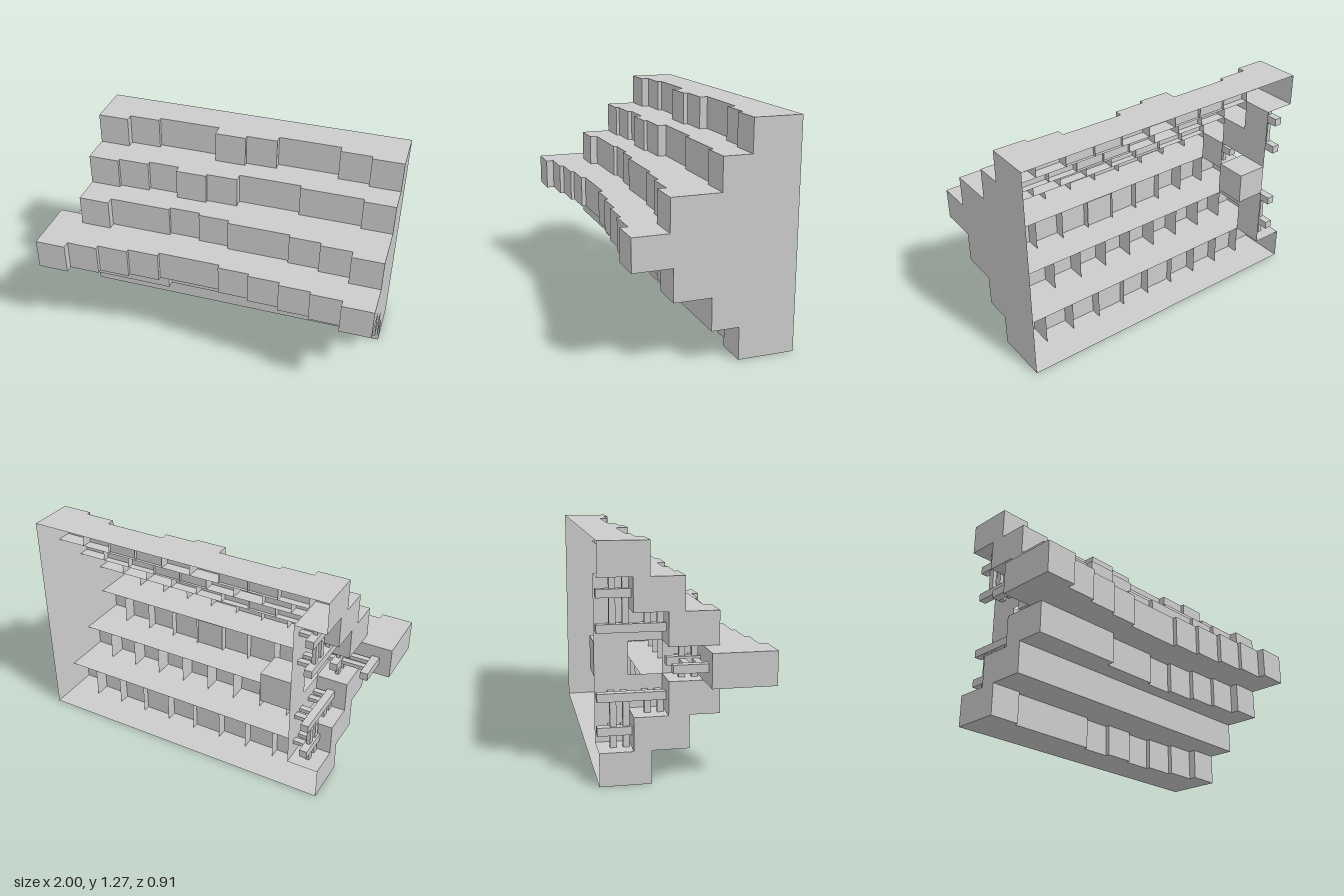
import * as THREE from 'three';

const U = 2 / 11;          // one block
const X0 = -1 + U;         // right end of the main wall
const BACK = -0.455;
const ROWS = 7, COLS = 10;

// front surface of every block, bottom row first, from -x to +x
const FRONT = [
  [-0.18, -0.205, -0.205, -0.205, -0.23, -0.205, -0.23, -0.205, -0.18, -0.135],
  [0.02, 0.02, 0.02, 0.02, 0.02, 0.02, 0.02, 0.02, 0.02, 0.02],
  [0.18, 0.18, 0.18, 0.135, 0.135, 0.11, 0.135, 0.16, 0.18, 0.23],
  [0.385, 0.36, 0.34, 0.315, 0.315, 0.34, 0.36, 0.385, 0.405, 0.45],
  [0.175, 0.13, 0.13, 0.11, 0.13, 0.155, 0.155, 0.175, 0.2, 0.25],
  [-0.005, -0.025, -0.05, -0.005, -0.025, -0.075, -0.075, -0.05, -0.05, -0.025],
  [-0.185, -0.23, -0.255, -0.255, -0.185, -0.21, -0.255, -0.255, -0.21, -0.185],
];
// plane where the front slabs of each row begin
const base = (r) => BACK + U * (4 - Math.abs(3 - r));

export function createModel() {
  const model = new THREE.Group();
  const mat = new THREE.MeshStandardMaterial({ color: 0xcccccc, side: THREE.DoubleSide, flatShading: true });

  const add = (name, geo, x, y, z, parent = model) => {
    const m = new THREE.Mesh(geo, mat);
    m.name = name;
    m.position.set(x, y, z);
    parent.add(m);
  };
  const group = (name) => {
    const g = new THREE.Group();
    g.name = name;
    model.add(g);
    return g;
  };
  // thin rectangles facing z, y and x
  const panel = (name, x0, x1, y0, y1, z, p) =>
    add(name, new THREE.PlaneGeometry(x1 - x0, y1 - y0), (x0 + x1) / 2, (y0 + y1) / 2, z, p);
  const shelf = (name, x0, x1, z0, z1, y, p) =>
    add(name, new THREE.PlaneGeometry(x1 - x0, z1 - z0).rotateX(-Math.PI / 2), (x0 + x1) / 2, y, (z0 + z1) / 2, p);
  const side = (name, z0, z1, y0, y1, x, p) =>
    add(name, new THREE.PlaneGeometry(z1 - z0, y1 - y0).rotateY(Math.PI / 2), x, (y0 + y1) / 2, (z0 + z1) / 2, p);
  const box = (name, x0, x1, y0, y1, z0, z1, p) =>
    add(name, new THREE.BoxGeometry(x1 - x0, y1 - y0, z1 - z0), (x0 + x1) / 2, (y0 + y1) / 2, (z0 + z1) / 2, p);

  const fronts = group('frontBlocks');
  const dividers = group('dividers');
  const steps = group('steps');
  const ends = group('endWalls');
  for (let r = 0; r < ROWS; r++) {
    const y = r * U, f = FRONT[r];
    for (let c = 0; c < COLS; c++) {
      const x = X0 + c * U;
      panel('frontBlock', x, x + U, y, y + U, f[c], fronts);
      if (c > 0) side('divider', base(r), Math.max(f[c], f[c - 1]), y, y + U, x, dividers);
      // horizontal surface under this block
      const back = r === 0 ? BACK : Math.min(base(r), base(r - 1)) - (c === 0 ? U : 0);
      const reach = r === 0 ? f[c] : Math.max(f[c], FRONT[r - 1][c]);
      shelf('step', x, x + U, back, reach, y, steps);
      if (r === ROWS - 1) shelf('top', x, x + U, BACK, f[c], y + U, steps);
    }
    side('leftWall', BACK, f[COLS - 1], y, y + U, 1, ends);
    side('rightWall', r === 3 ? base(r) : base(r) - U, r === 3 ? 0.43 : f[0], y, y + U, X0, ends);
  }

  // small recess behind the right end: lining and partition
  const recess = group('recess');
  for (let r = 1; r <= 5; r++) {
    const y = r * U, z = base(r) - U;
    panel('recessLining', X0, X0 + U, y, y + U, z, recess);
    side('partition', r === 3 ? z - U : BACK, z, y, y + U, X0 + U, recess);
  }

  // block standing out at the right end, and the block behind the partition
  box('endBlock', -1, X0, 3 * U, 4 * U, base(3) - U, 0.43);
  box('innerBlock', X0 + U, X0 + 2 * U, 3 * U, 4 * U, BACK, BACK + U);

  // fences: posts along z, paired rails towards their neighbours
  const fence = group('fence');
  const P = U / 8, T = U / 16;
  const post = (x, y, z, cells) =>
    box('fencePost', x - P, x + P, y - P, y + P, z, z + cells * U, fence);
  const rails = (x0, x1, y0, y1, z) => {
    for (const k of [6, 12]) box('fenceRail', x0, x1, y0, y1, z + k * T, z + (k + 3) * T, fence);
  };
  const fx = X0 + U / 2, mid = 3.5 * U, zm = base(3) - 2 * U;
  for (const s of [-1, 1]) {
    const yIn = mid + s * U, yOut = mid + s * 2 * U;
    const span = (a, b, z) => rails(fx - T, fx + T, Math.min(a, b), Math.max(a, b), z);
    post(fx, yOut, BACK, 1);
    post(fx, yIn, BACK, 2);
    span(yIn, yOut + s * U / 2, BACK);
    span(yIn, yIn + s * U / 2, BACK + U);
    span(mid, mid + s * U / 2, zm);
    // rails reaching the partition
    rails(fx, fx + U / 2, yIn - T, yIn + T, BACK);
    rails(fx, fx + U / 2, yIn - T, yIn + T, BACK + U);
    rails(fx, fx + U / 2, yOut - T, yOut + T, BACK);
  }
  post(fx, mid, zm, 1);
  post(fx - U, mid, zm, 1);
  rails(fx - U, fx + U / 2, mid - T, mid + T, zm);

  return model;
}
